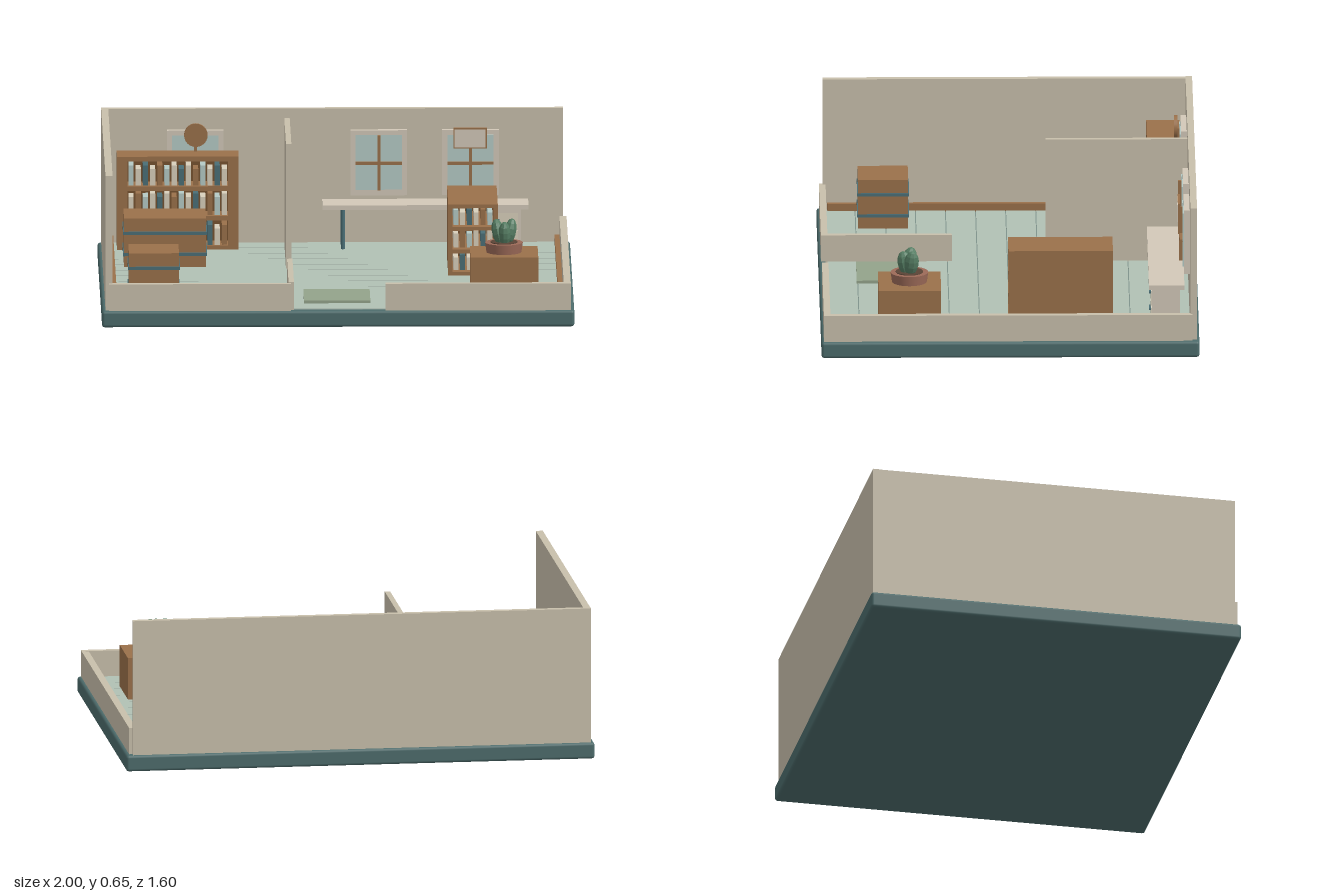
import * as THREE from 'three';
import { RoundedBoxGeometry } from 'three/addons/geometries/RoundedBoxGeometry.js';

const mat = (color, flatShading = false) => new THREE.MeshStandardMaterial({ color, flatShading });
const M = {
  base: mat(0x4c6b6b), floor: mat(0xb0c0b4), seam: mat(0x7d918a), wall: mat(0xc8bfab), trim: mat(0xd2c8b8),
  wood: mat(0x9a704a), dark: mat(0x75512f), teal: mat(0x4a6e76), glass: mat(0xb5cac5),
  rug: mat(0x93a38a), pot: mat(0x9c6a58), soil: mat(0x5a4436), plant: mat(0x557d63, true),
  cream: mat(0xd8cfbb),
};
const FLOOR = 0.072;

function add(parent, name, geometry, material, x = 0, y = 0, z = 0) {
  const mesh = new THREE.Mesh(geometry, material);
  mesh.name = name;
  mesh.position.set(x, y, z);
  parent.add(mesh);
  return mesh;
}

// Box given by its lower and upper limits on each axis
function box(parent, name, material, x0, x1, y0, y1, z0, z1) {
  return add(parent, name, new THREE.BoxGeometry(x1 - x0, y1 - y0, z1 - z0), material,
    (x0 + x1) / 2, (y0 + y1) / 2, (z0 + z1) / 2);
}

function group(parent, name) {
  const g = new THREE.Group();
  g.name = name;
  parent.add(g);
  return g;
}

// Open-fronted bookcase with three rows of books
function bookcase(parent, name, x0, x1, top, z0, z1, count) {
  const g = group(parent, name);
  const w = x1 - x0, h = top - FLOOR, d = z1 - z0;
  const side = w * 0.087, board = h * 0.05;
  box(g, 'leftSide', M.wood, x1 - side, x1, FLOOR, top, z0, z1);
  box(g, 'rightSide', M.wood, x0, x0 + side, FLOOR, top, z0, z1);
  box(g, 'backPanel', M.dark, x0 + side, x1 - side, FLOOR, top - board, z0, z0 + d * 0.17);
  const pitch = (h - board) / 3;
  const covers = [M.cream, M.teal, M.cream, M.wood, M.glass];
  for (let i = 0; i <= 3; i++) {
    const y = FLOOR + i * pitch;
    box(g, 'shelf', M.wood, x0 + side, x1 - side, y, y + board, z0, z1);
    if (i === 3) break;
    const step = (w - 2 * side) / count;
    for (let k = 0; k < count; k++) {
      const bx = x0 + side + (k + 0.14) * step;
      const bh = (pitch - board) * (0.66 + 0.07 * ((k * 2 + i) % 4));
      box(g, 'book', covers[(k + i * 2) % 5], bx, bx + step * 0.72, y + board, y + board + bh,
        z0 + d * 0.17, z0 + d * 0.88);
    }
  }
}

// Wooden crate with two straps running around it
function crate(parent, name, x0, x1, top, z0, z1) {
  const g = group(parent, name);
  box(g, 'crateBody', M.wood, x0, x1, FLOOR, top, z0, z1);
  for (const f of [0.27, 0.7]) {
    const y = FLOOR + (top - FLOOR) * f, o = 0.004;
    box(g, 'strap', M.teal, x0 - o, x1 + o, y - 0.007, y + 0.007, z0 - o, z1 + o);
  }
}

// Window on the back wall with crossed glazing bars
function windowUnit(parent, x) {
  const g = group(parent, 'window');
  box(g, 'windowFrame', M.trim, x - 0.12, x + 0.12, 0.28, 0.56, -0.765, -0.738);
  box(g, 'windowPane', M.glass, x - 0.098, x + 0.098, 0.305, 0.54, -0.74, -0.732);
  box(g, 'verticalBar', M.wood, x - 0.006, x + 0.006, 0.305, 0.54, -0.733, -0.718);
  box(g, 'horizontalBar', M.wood, x - 0.098, x + 0.098, 0.414, 0.426, -0.733, -0.72);
}

export function createModel() {
  const root = new THREE.Group();
  root.name = 'room';

  // Base slab and floor planks
  add(root, 'base', new RoundedBoxGeometry(2, 0.07, 1.6, 2, 0.012), M.base, 0, 0.035, 0);
  box(root, 'subfloor', M.seam, -0.96, 0.96, 0.06, 0.0705, -0.765, 0.765);
  const planks = 12, pitch = 1.53 / planks;
  for (let i = 0; i < planks; i++) {
    const z = -0.765 + i * pitch;
    box(root, 'floorPlank', M.floor, -0.957, 0.957, 0.06, FLOOR + 0.002, z + 0.002, z + pitch - 0.002);
  }

  // Tall walls, low cut-away walls and the partition with its gap
  box(root, 'backWall', M.wall, -0.985, 0.97, 0.068, 0.65, -0.79, -0.762);
  box(root, 'rightWall', M.wall, -0.985, -0.955, 0.068, 0.649, -0.789, 0.775);
  box(root, 'leftLowWall', M.wall, 0.955, 0.985, 0.068, 0.184, -0.77, 0.789);
  box(root, 'frontLowWall', M.wall, -0.97, -0.2, 0.068, 0.185, 0.762, 0.79);
  box(root, 'frontLowWall', M.wall, 0.2, 0.985, 0.068, 0.185, 0.762, 0.79);
  box(root, 'tallPartition', M.wall, -0.21, -0.187, 0.068, 0.61, -0.763, -0.16);
  box(root, 'lowPartition', M.wall, -0.21, -0.187, 0.068, 0.19, 0.236, 0.77);
  for (const s of [-1, 1]) {
    const x = s * 0.945;
    box(root, 'baseboard', M.wood, x - 0.011, x + 0.011, 0.07, 0.105, -0.762, 0.755);
  }

  // Windows and the two hanging signs in front of them
  [-0.587, 0.19, 0.578].forEach((x) => windowUnit(root, x));
  const disc = add(root, 'roundSign', new THREE.CylinderGeometry(0.05, 0.05, 0.014, 24), M.wood, -0.585, 0.545, -0.716);
  disc.rotation.x = Math.PI / 2;
  box(root, 'signFrame', M.wood, 0.505, 0.647, 0.485, 0.574, -0.722, -0.712);
  box(root, 'signPanel', M.trim, 0.511, 0.641, 0.491, 0.568, -0.714, -0.709);

  // Bookcases and crates
  bookcase(root, 'largeBookcase', -0.92, -0.405, 0.475, -0.735, -0.595, 14);
  bookcase(root, 'smallBookcase', 0.475, 0.685, 0.378, -0.437, 0.006, 6);
  crate(root, 'longChest', -0.895, -0.547, 0.283, -0.43, -0.197);
  crate(root, 'smallCrate', -0.884, -0.672, 0.288, 0.415, 0.627);

  // Desk with two posts and a drawer cabinet
  const desk = group(root, 'desk');
  box(desk, 'deskTop', M.trim, -0.05, 0.822, 0.245, 0.265, -0.738, -0.588);
  for (const z of [-0.607, -0.71]) {
    add(desk, 'deskLeg', new THREE.CylinderGeometry(0.009, 0.009, 0.175, 10), M.teal, 0.036, 0.159, z);
  }
  box(desk, 'drawerCabinet', M.trim, 0.55, 0.79, FLOOR, 0.246, -0.72, -0.602);
  for (const y of [0.09, 0.165]) {
    box(desk, 'drawerFront', M.cream, 0.562, 0.778, y, y + 0.064, -0.604, -0.597);
    box(desk, 'drawerHandle', M.teal, 0.64, 0.7, y + 0.03, y + 0.038, -0.598, -0.59);
  }

  // Rug inside the doorway
  box(root, 'rug', M.rug, -0.143, 0.138, 0.07, 0.086, 0.38, 0.642);

  // Plant on its box
  const planter = group(root, 'plantStand');
  box(planter, 'standBox', M.wood, 0.563, 0.85, FLOOR, 0.253, 0.292, 0.557);
  add(planter, 'pot', new THREE.CylinderGeometry(0.08, 0.074, 0.042, 24), M.pot, 0.706, 0.274, 0.425);
  add(planter, 'soil', new THREE.CylinderGeometry(0.058, 0.058, 0.004, 20), M.soil, 0.706, 0.296, 0.425);
  const leaf = new THREE.SphereGeometry(1, 9, 7);
  [[-0.024, 0, -0.2, 0.2], [0.026, -0.008, -0.1, -0.2], [0.002, 0.018, 0.2, 0]].forEach(([x, z, rx, rz], i) => {
    const m = add(planter, 'leaf', leaf, M.plant, 0.706 + x, 0.34 - (i === 2 ? 0.008 : 0), 0.425 + z);
    m.scale.set(0.027, 0.056, 0.032);
    m.rotation.set(rx, 0, rz);
  });

  return root;
}
